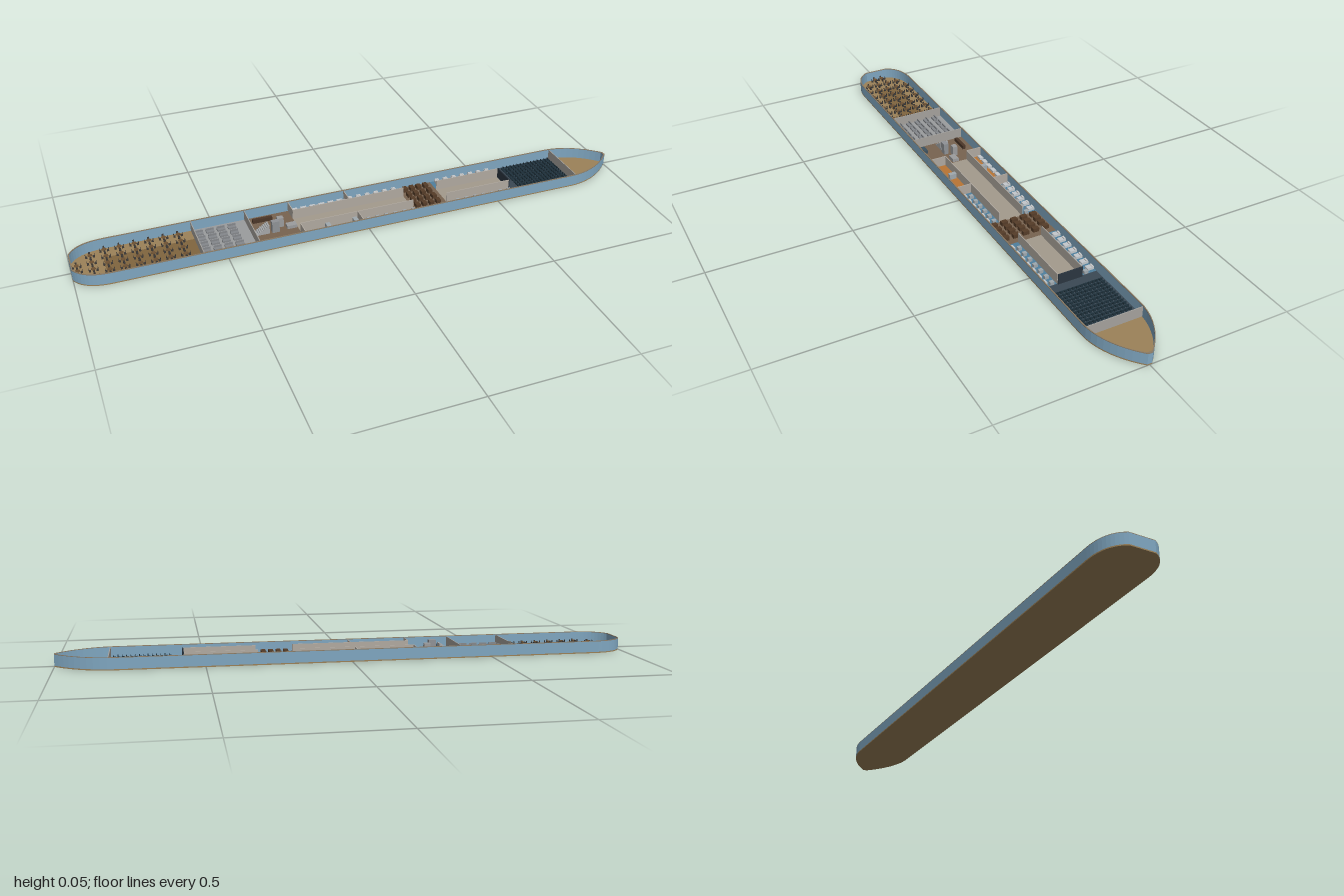
import * as THREE from 'three';
import { mergeGeometries } from 'three/addons/utils/BufferGeometryUtils.js';

const WALL_H = 0.044, FLOOR = 0.005;

// Plan outline of the ship: rounded stern at -x, pointed bow at +x
function outline(inset = 0) {
  const w = 0.104 - inset, a = -1 + inset, b = 1 - inset * 1.6, s = new THREE.Shape();
  s.moveTo(a, -0.045);
  s.quadraticCurveTo(a + 0.03, -w, -0.88, -w);
  s.lineTo(0.8, -w);
  s.bezierCurveTo(0.88, -w, 0.95, -0.06, b, -0.008);
  s.lineTo(b, 0.008);
  s.bezierCurveTo(0.95, 0.06, 0.88, w, 0.8, w);
  s.lineTo(-0.88, w);
  s.quadraticCurveTo(a + 0.03, w, a, 0.045);
  s.closePath();
  return s;
}

// Extrudes a plan shape upwards from y
function slab(shape, y, height) {
  const g = new THREE.ExtrudeGeometry(shape, { depth: height, bevelEnabled: false, curveSegments: 10 });
  return g.rotateX(-Math.PI / 2).translate(0, y, 0);
}

function ring(inset) {
  const s = outline();
  s.holes.push(new THREE.Path(outline(inset).getPoints(10).reverse()));
  return s;
}

// Box given by its centre in plan, its size and its base height
function box(x, z, w, h, d, y = FLOOR) {
  return new THREE.BoxGeometry(w, h, d).translate(x, y + h / 2, z);
}

const range = (n, from, to) => Array.from({ length: n }, (_, i) => from + (to - from) * i / Math.max(1, n - 1));

export function createModel() {
  const ship = new THREE.Group();
  ship.name = 'shipDeck';
  const add = (name, geometry, color) => {
    const g = Array.isArray(geometry) ? mergeGeometries(geometry) : geometry;
    const m = new THREE.Mesh(g, new THREE.MeshStandardMaterial({ color }));
    m.name = name;
    ship.add(m);
  };

  // Hull
  add('deckFloor', slab(outline(), 0, 0.004), 0x9b8158);
  add('hullWall', slab(ring(0.004), 0.004, WALL_H - 0.006), 0x7fa6c0);
  add('hullRim', slab(ring(0.004), WALL_H - 0.002, 0.002), 0x8a7a64);

  // Floor of each room: name, from x, to x, centre z, depth, colour
  const floors = [
    ['diningCarpet', -0.89, -0.58, 0, 0.09, 0x80653f],
    ['loungeFloor', -0.58, -0.39, 0, 0.2, 0x9a9c9e],
    ['lobbyFloor', -0.39, -0.23, 0, 0.2, 0x786350],
    ['corridorFloor', -0.23, 0.19, 0, 0.09, 0xa39a8c],
    ['shopFloor', 0.19, 0.32, 0, 0.2, 0x786350],
    ['corridorFloor', 0.32, 0.57, 0, 0.09, 0xa39a8c],
    ['theatreFloor', 0.57, 0.82, 0, 0.2, 0x3a4854],
  ];
  for (const s of [-1, 1]) {
    floors.push(['orangeCabinFloor', -0.23, -0.02, s * 0.0725, 0.055, 0xb87434],
      ['blueCabinFloor', -0.02, 0.19, s * 0.0725, 0.055, 0x4f7f9d],
      ['blueCabinFloor', 0.32, 0.57, s * 0.0725, 0.055, 0x4f7f9d]);
  }
  for (const [name, x0, x1, z, d, color] of floors)
    add(name, box((x0 + x1) / 2, z, x1 - x0, 0.0015, d, 0.0038), color);

  // Bulkheads across the ship and walls along the corridor
  add('bulkheads', [-0.58, -0.39, 0.82].map(x => box(x, 0, 0.003, WALL_H - 0.007, 0.198)), 0xa5a29d);
  const walls = [];
  for (const s of [-1, 1]) {
    for (const [x0, x1] of [[-0.23, 0.19], [0.32, 0.57]])
      walls.push(box((x0 + x1) / 2, s * 0.044, x1 - x0, WALL_H - 0.007, 0.003));
    for (const x of [-0.23, -0.02])
      walls.push(box(x, s * 0.073, 0.003, WALL_H - 0.007, 0.056));
  }
  add('corridorWalls', walls, 0xb0a9a0);
  add('theatreScreen', box(0.573, 0, 0.004, WALL_H - 0.006, 0.088), 0x2b3640);

  // Dining room: round tables, each with four chairs
  const tables = [], chairs = [];
  range(8, -0.98, -0.63).forEach((x, i) => {
    const rows = i === 0 ? [-0.015, 0.015] : range(i < 2 ? 4 : 5, i < 2 ? -0.06 : -0.08, i < 2 ? 0.06 : 0.08);
    for (const z of rows) {
      tables.push(new THREE.CylinderGeometry(0.008, 0.008, 0.002, 10).translate(x, 0.015, z),
        new THREE.CylinderGeometry(0.002, 0.003, 0.01, 6).translate(x, 0.009, z));
      for (let k = 0; k < 4; k++) {
        const a = k * Math.PI / 2, cx = Math.cos(a), cz = Math.sin(a);
        const px = x + cx * 0.012, pz = z + cz * 0.012;
        if (px < -0.993) continue;
        chairs.push(box(px, pz, 0.006, 0.006, 0.006),
          box(px + cx * 0.003, pz + cz * 0.003, cx * cx > 0.5 ? 0.0015 : 0.006, 0.013, cx * cx > 0.5 ? 0.006 : 0.0015));
      }
    }
  });
  add('diningTables', tables, 0x6e5234);
  add('diningChairs', chairs, 0x3d3a38);

  // Lounge: rows of sofas with backs
  const sofas = [];
  for (const x of range(4, -0.56, -0.445))
    for (const z of range(5, -0.065, 0.08))
      sofas.push(box(x, z, 0.028, 0.007, 0.014), box(x, z - 0.006, 0.028, 0.014, 0.003));
  add('loungeSofas', sofas, 0x85888c);

  // Lobby: lift shaft, staircase and counters
  add('liftShaft', box(-0.31, 0.008, 0.026, 0.043, 0.018), 0x8f9296);
  add('lobbyStairs', range(8, -0.375, -0.335).map((x, i) => box(x, 0, 0.006, 0.004 * (i + 1), 0.03)), 0xa5a7a9);
  add('liftLobby', [box(-0.285, -0.018, 0.022, 0.036, 0.018), box(-0.25, 0, 0.035, 0.012, 0.024)], 0x9b9c9d);
  add('lobbyBar', box(-0.335, -0.068, 0.07, 0.014, 0.012), 0x4b3628);
  add('receptionDesk', box(-0.35, 0.075, 0.032, 0.014, 0.014), 0x3b5160);

  // Cabins on both sides: beds with pillows and low cabinets
  const beds = [], pillows = [], cabinets = [];
  for (const s of [-1, 1]) {
    for (const x of range(6, -0.21, -0.04)) beds.push(box(x, s * 0.09, 0.022, 0.009, 0.014));
    for (const x of [-0.135, -0.035]) cabinets.push(box(x, s * 0.062, 0.016, 0.02, 0.026));
    for (const [n, x0, x1] of [[6, 0.0, 0.17], [7, 0.345, 0.55]])
      for (const x of range(n, x0, x1)) {
        beds.push(box(x, s * 0.086, 0.018, 0.009, 0.024));
        pillows.push(box(x, s * 0.094, 0.014, 0.003, 0.006, FLOOR + 0.009));
        cabinets.push(box(x + 0.014, s * 0.062, 0.012, 0.012, 0.014));
      }
  }
  add('cabinBeds', beds, 0xc3c8cc);
  add('cabinPillows', pillows, 0xe4e4e2);
  add('cabinCabinets', cabinets, 0x9fa8ae);

  // Shop: display cases in a grid
  const cases = [];
  for (const x of range(4, 0.21, 0.29))
    for (const z of range(5, -0.075, 0.075)) cases.push(box(x, z, 0.016, 0.014, 0.022));
  add('displayCases', cases, 0x553c28);

  // Theatre: rows of seats facing the screen
  const seats = [];
  for (const x of range(14, 0.615, 0.805))
    for (const z of range(13, -0.085, 0.085))
      seats.push(box(x, z, 0.008, 0.005, 0.009), box(x + 0.004, z, 0.002, 0.011, 0.009));
  add('theatreSeats', seats, 0x1f323d);

  return ship;
}
